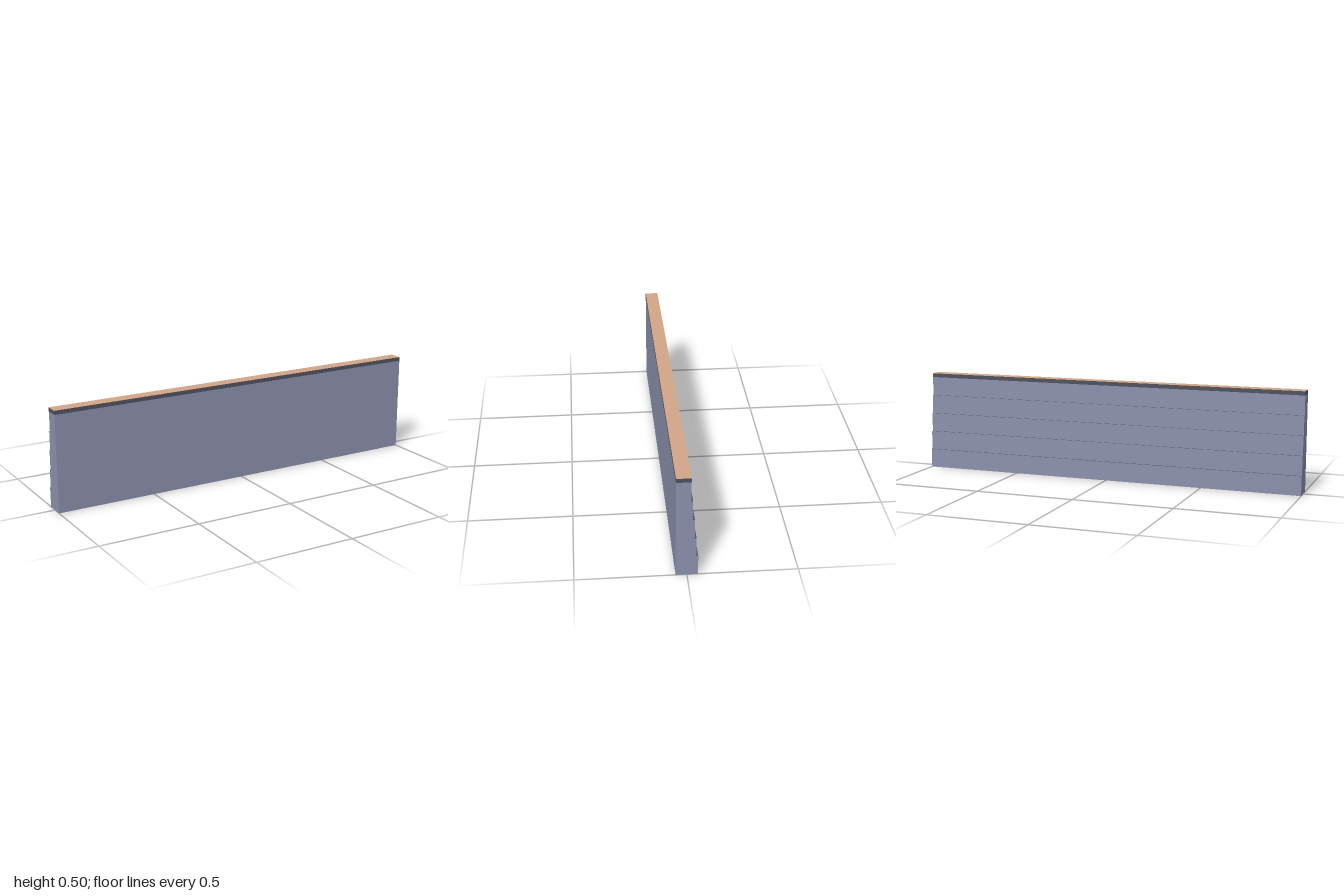
import * as THREE from 'three';

const mat = (name, color) => {
  const m = new THREE.MeshStandardMaterial({ color });
  m.name = name;
  return m;
};

export function createModel() {
  const group = new THREE.Group();
  group.name = 'steppedWall';

  const wall = mat('blueGreyWall', 0x8c91ad);
  const dark = mat('darkGreyTrim', 0x50525f);
  const tan = mat('tanTop', 0xd2a688);

  const front = 0.05;

  // A full-length slab from the flat front face to a given back depth
  const slab = (name, y0, y1, back, sides, top, bottom) => {
    const geo = new THREE.BoxGeometry(2, y1 - y0, front - back);
    const mesh = new THREE.Mesh(geo, [sides, sides, top, bottom, sides, sides]);
    mesh.position.set(0, (y0 + y1) / 2, (front + back) / 2);
    mesh.name = name;
    group.add(mesh);
  };

  // Five courses, each set back a little further at the rear
  const courses = 5, courseHeight = 0.0964, wallTop = courses * courseHeight;
  for (let i = 0; i < courses; i++) {
    slab(`wallCourse${i + 1}`, i * courseHeight, (i + 1) * courseHeight,
      -0.05 + i * 0.0085, wall, dark, dark);
  }

  // Coping along the top, with a slight overhang at the back
  slab('coping', wallTop, 0.502, -0.0175, dark, tan, dark);

  return group;
}
